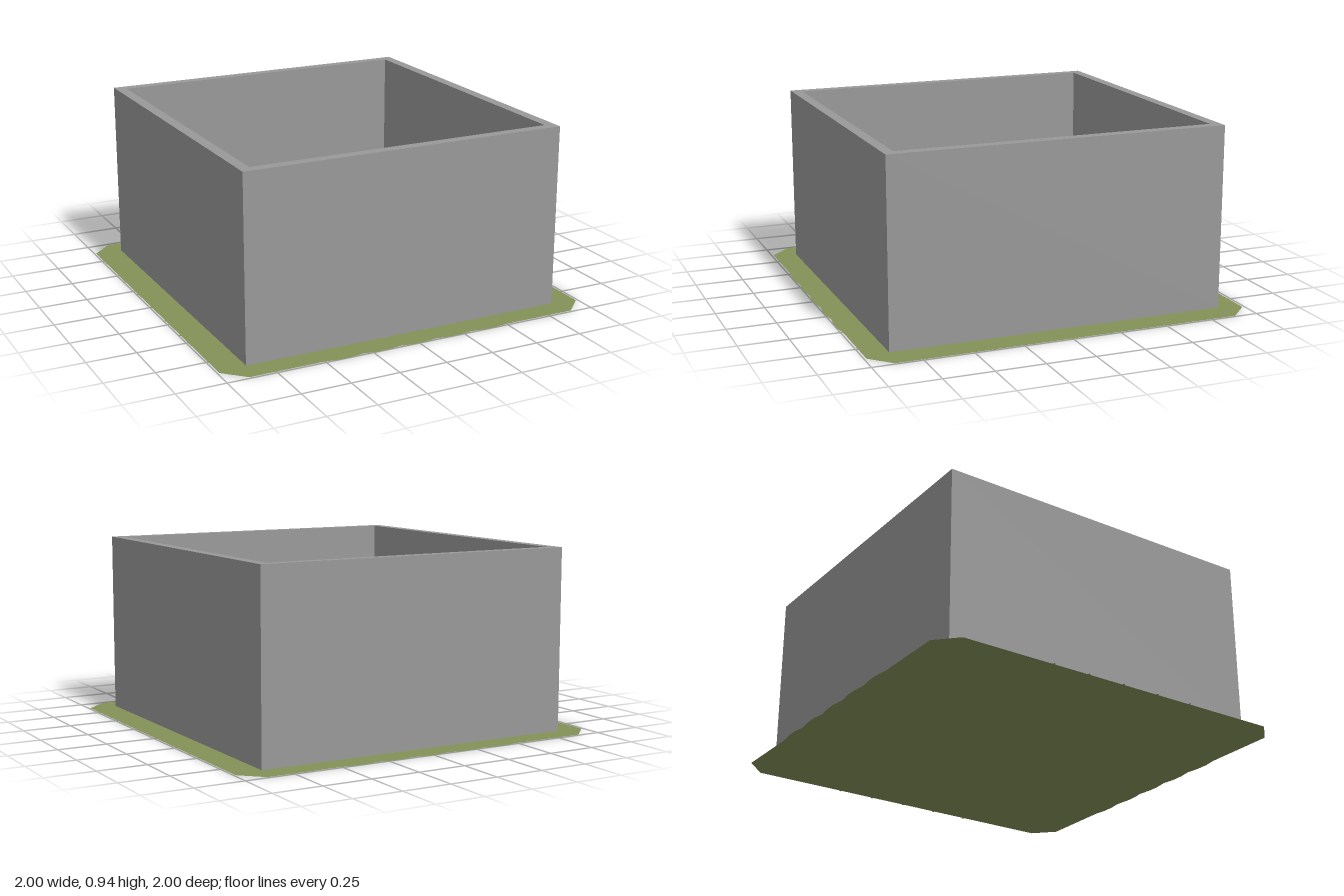
import * as THREE from 'three';

const stone = new THREE.MeshStandardMaterial({ color: 0x999999 });
stone.name = 'grey stone';
const grass = new THREE.MeshStandardMaterial({ color: 0x839158, side: THREE.DoubleSide });
grass.name = 'grass green';

const bumps = [-0.4, -0.2, 0, 0.2, 0.4];

const rectangle = (Type, x, z) => new Type([[-x, -z], [x, -z], [x, z], [-x, z]].map(p => new THREE.Vector2(...p)));

// One side of the lawn, as [distance along the side, distance outward]
function sideProfile(halfWidth, reach) {
  const edge = [[-0.885, reach]];
  for (const b of bumps) {
    for (const [along, out] of [[-halfWidth, 0], [-halfWidth / 3, 0.01], [halfWidth / 3, 0.01], [halfWidth, 0]]) {
      edge.push([b + along, reach + out]);
    }
  }
  edge.push([0.885, reach]);
  return edge;
}

// Lawn outline: chamfered corners, soft scallops front and back, tiny tabs on the sides
function lawnOutline() {
  const points = [];
  for (let side = 0; side < 4; side++) {
    const profile = side % 2 ? sideProfile(0.008, 0.99) : sideProfile(0.098, 0.988);
    const angle = side * Math.PI / 2;
    for (const [along, out] of profile) {
      points.push(new THREE.Vector2(along, -out).rotateAround(new THREE.Vector2(), angle));
    }
  }
  return new THREE.Shape(points);
}

export function createModel() {
  const model = new THREE.Group();
  model.name = 'walledPlot';

  // Flat lawn
  const lawn = new THREE.Mesh(new THREE.ShapeGeometry(lawnOutline()).rotateX(-Math.PI / 2), grass);
  lawn.name = 'lawn';
  model.add(lawn);

  // Four walls as one open ring, just above the lawn
  const ring = rectangle(THREE.Shape, 0.85, 0.868);
  ring.holes.push(rectangle(THREE.Path, 0.795, 0.815));
  const walls = new THREE.Mesh(
    new THREE.ExtrudeGeometry(ring, { depth: 0.936, bevelEnabled: false }).rotateX(-Math.PI / 2), stone);
  walls.name = 'walls';
  walls.position.y = 0.002;
  model.add(walls);

  return model;
}
